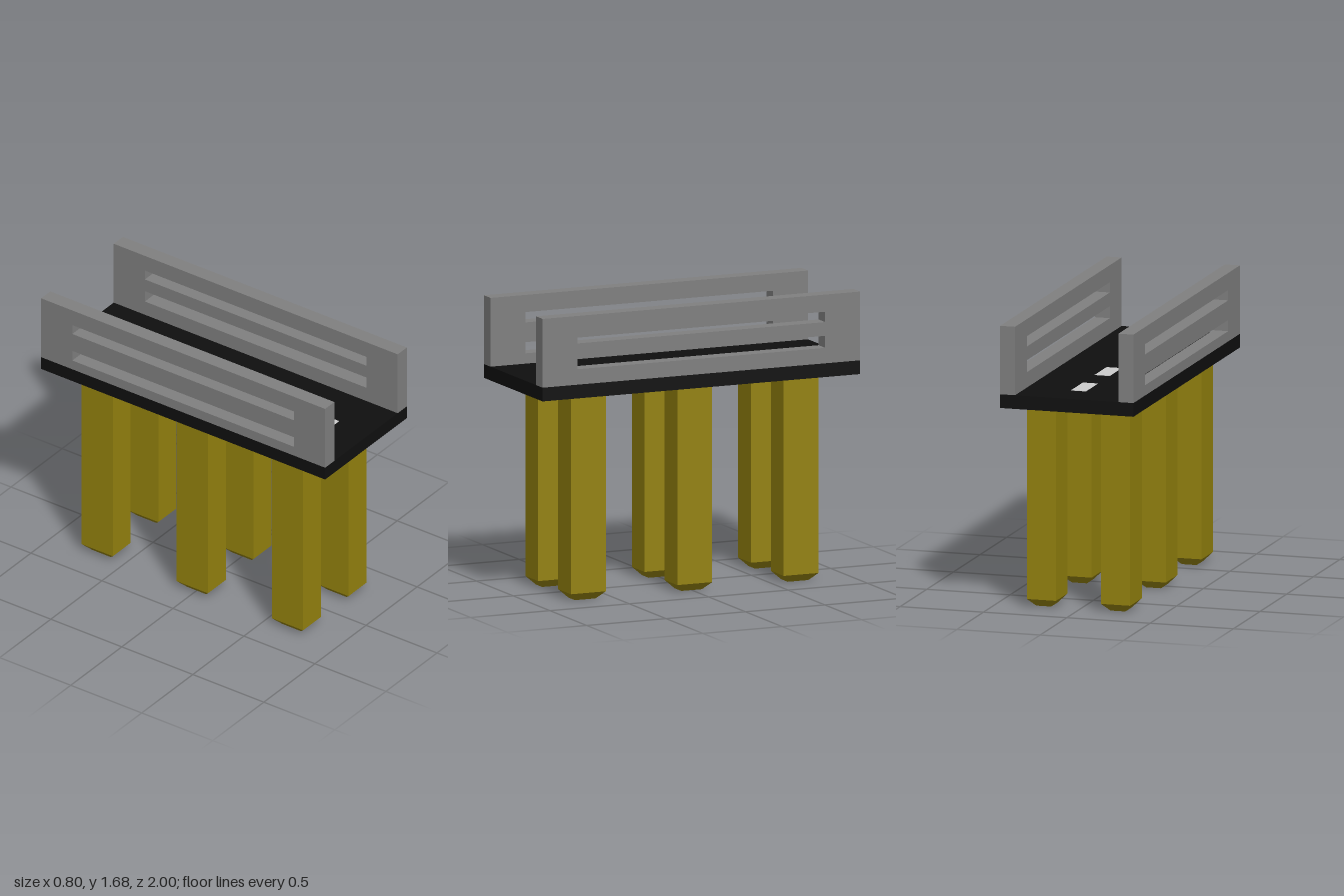
import * as THREE from 'three';

const DECK_BOTTOM = 1.2, DECK_TOP = 1.28, TIP = 0.045;

const material = (color) => new THREE.MeshStandardMaterial({ color, flatShading: true });

function box(name, size, position, mat) {
  const mesh = new THREE.Mesh(new THREE.BoxGeometry(...size), mat);
  mesh.name = name;
  mesh.position.set(...position);
  return mesh;
}

// Side wall: upright panel with two long slots, extruded across x
function sideRail(name, x, slots, mat) {
  const rect = (path, z, y0, y1) => {
    path.moveTo(-z, y0).lineTo(z, y0).lineTo(z, y1).lineTo(-z, y1).closePath();
    return path;
  };
  const panel = rect(new THREE.Shape(), 1, DECK_TOP, 1.68);
  for (const [y0, y1] of slots) panel.holes.push(rect(new THREE.Path(), 0.78, y0, y1));
  const geometry = new THREE.ExtrudeGeometry(panel, { depth: 0.09, bevelEnabled: false });
  geometry.translate(0, 0, -0.045).rotateY(Math.PI / 2);
  const mesh = new THREE.Mesh(geometry, mat);
  mesh.name = name;
  mesh.position.x = x;
  return mesh;
}

// Square pile with a chamfered foot
function pile(x, z, mat) {
  const group = new THREE.Group();
  group.name = 'pile';
  const w = 0.175, d = 0.22;
  group.add(box('pileShaft', [w, DECK_BOTTOM - TIP, d], [0, (DECK_BOTTOM + TIP) / 2, 0], mat));
  const foot = box('pileFoot', [w, TIP, d], [0, TIP / 2, 0], mat);
  const p = foot.geometry.attributes.position;
  for (let i = 0; i < p.count; i++) {
    if (p.getY(i) < 0) {
      p.setX(i, p.getX(i) - Math.sign(p.getX(i)) * 0.043);
      p.setZ(i, p.getZ(i) - Math.sign(p.getZ(i)) * 0.045);
    }
  }
  foot.geometry.computeVertexNormals();
  group.add(foot);
  group.position.set(x, 0, z);
  return group;
}

export function createModel() {
  const model = new THREE.Group();
  model.name = 'bridge';
  const asphalt = material(0x0f0f0f);
  const concrete = material(0x808080);
  const paint = material(0xcccccc);
  const timber = material(0x94820e);

  // Road deck
  model.add(box('roadDeck', [0.8, DECK_TOP - DECK_BOTTOM, 2], [0, (DECK_TOP + DECK_BOTTOM) / 2, 0], asphalt));

  // Centre line dashes
  for (let i = 0; i < 4; i++) {
    model.add(box('laneDash', [0.09, 0.004, 0.222], [0, DECK_TOP, (i - 1.5) * 0.445], paint));
  }

  // Side walls; the lower slot sits slightly lower on the right wall
  model.add(sideRail('leftRail', 0.355, [[1.37, 1.44], [1.52, 1.58]], concrete));
  model.add(sideRail('rightRail', -0.355, [[1.34, 1.405], [1.52, 1.58]], concrete));

  // Two rows of three piles
  for (const x of [-0.2225, 0.2225]) {
    for (const z of [-0.67, 0, 0.67]) model.add(pile(x, z, timber));
  }
  return model;
}
